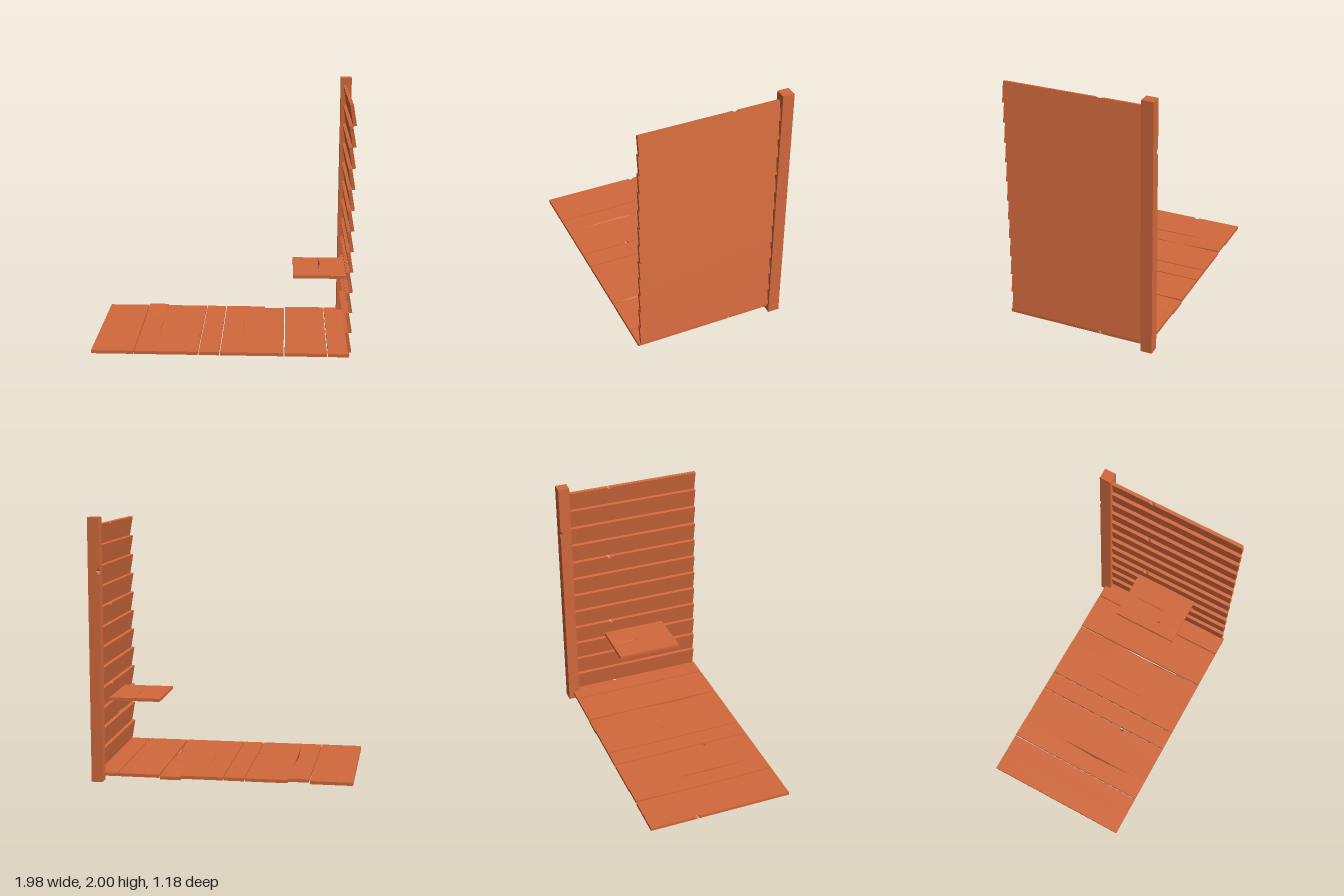
import * as THREE from 'three';
import { ConvexGeometry } from 'three/addons/geometries/ConvexGeometry.js';

const wood = new THREE.MeshStandardMaterial({ color: 0xd2693c });
wood.name = 'reddish wood';

// A plank along z, w wide and t thick, centred in x and y.
// notches: [side (-1 or 1), z, depth, half length], chipped out of the upper edge.
// bend lifts (or drops) the back end.
function plank(name, w, t, z0, z1, notches = [], bend = 0) {
  const h = w / 2, bendZ = -0.2;
  const edge = side => {
    const pts = [[side * h, z0], [side * h, z1]];
    if (bend) pts.push([side * h, bendZ]);
    for (const [s, z, depth, half] of notches) {
      if (s !== side) continue;
      pts.push([side * h, Math.max(z - half, z0 + 0.002)], [side * (h - depth), z],
        [side * h, Math.min(z + half, z1 - 0.002)]);
    }
    return pts.sort((a, b) => a[1] - b[1]);
  };
  const outline = [...edge(1), ...edge(-1).reverse()].map(p => new THREE.Vector2(...p));
  const geo = new THREE.ExtrudeGeometry(new THREE.Shape(outline), { depth: t, bevelEnabled: false });
  geo.rotateX(Math.PI / 2).translate(0, t / 2, 0);
  const p = geo.attributes.position;
  for (let i = 0; i < p.count; i++) {
    const z = p.getZ(i);
    // chips slope out to a whole edge underneath
    if (p.getY(i) < 0) p.setX(i, Math.sign(p.getX(i)) * h);
    if (bend && z < bendZ) p.setY(i, p.getY(i) + bend * (bendZ - z) / (bendZ - z0));
  }
  geo.computeVertexNormals();
  const mesh = new THREE.Mesh(geo, wood);
  mesh.name = name;
  return mesh;
}

// Corner post in stacked pieces, with a chip in its inner back edge
function makePost() {
  const post = new THREE.Group();
  post.name = 'cornerPost';
  const x0 = 0.9, x1 = 0.985, z0 = -0.595, z1 = -0.505;
  const ring = (y, cut) => [
    [x1, y, z0], [x1, y, z1], [x0, y, z1], [x0, y, z0 + cut], [x0 + cut, y, z0],
  ].map(v => new THREE.Vector3(...v));
  const levels = [[0, 0], [1.575, 0], [1.605, 0.025], [1.635, 0], [2, 0]];
  for (let i = 0; i < levels.length - 1; i++) {
    const geo = new ConvexGeometry([...ring(...levels[i]), ...ring(...levels[i + 1])]);
    const piece = new THREE.Mesh(geo, wood);
    piece.name = 'postSection';
    post.add(piece);
  }
  return post;
}

export function createModel() {
  const model = new THREE.Group();
  model.name = 'plankCorner';
  model.add(makePost());

  // Floor planks, some with open joints, chips or a warped end
  const floor = new THREE.Group();
  floor.name = 'floor';
  const pitch = 1.945 / 12;
  const openJoints = [2, 5, 6, 9, 11];
  const floorNotches = {
    0: [[-1, -0.18, 0.025, 0.025]],
    2: [[1, 0.12, 0.016, 0.37]],
    4: [[1, 0.205, 0.03, 0.025]],
    6: [[1, -0.03, 0.006, 0.24]],
    8: [[1, 0.205, 0.018, 0.35]],
    11: [[1, -0.165, 0.02, 0.02]],
  };
  const warps = { 2: 0.011, 8: -0.012 };
  for (let i = 0; i < 12; i++) {
    const gapL = openJoints.includes(i) ? 0.004 : 0;
    const gapR = openJoints.includes(i + 1) ? 0.004 : 0;
    const board = plank('floorPlank', pitch - gapL - gapR, 0.024, -0.555, 0.588,
      floorNotches[i], warps[i]);
    board.position.set(-0.99 + (i + 0.5) * pitch + (gapL - gapR) / 2, 0.053, 0);
    floor.add(board);
  }
  model.add(floor);

  // Overlapping wall boards, each leaning inward at the top
  const wall = new THREE.Group();
  wall.name = 'wall';
  const wallNotches = {
    2: [[-1, 0.21, 0.006, 0.12]],
    3: [[1, -0.18, 0.02, 0.025]],
    7: [[1, -0.18, 0.02, 0.025]],
    11: [[1, -0.165, 0.02, 0.025]],
  };
  for (let i = 0; i < 12; i++) {
    const board = plank('wallBoard', 0.156, 0.026, -0.505, 0.572, wallNotches[i]);
    board.rotation.z = Math.PI / 2 + 0.17;
    board.position.set(0.945, 0.15 + i * 0.156, 0);
    wall.add(board);
  }
  model.add(wall);

  // Small shelf of four planks
  const shelf = new THREE.Group();
  shelf.name = 'shelf';
  const shelfNotches = {
    0: [[1, 0.1, 0.014, 0.012]],
    2: [[-1, -0.07, 0.012, 0.165]],
  };
  for (let i = 0; i < 4; i++) {
    const board = plank('shelfPlank', 0.1, 0.024, -0.245, 0.275, shelfNotches[i]);
    board.position.set(0.58 + i * 0.1, 0.572, 0);
    shelf.add(board);
  }
  model.add(shelf);

  return model;
}
